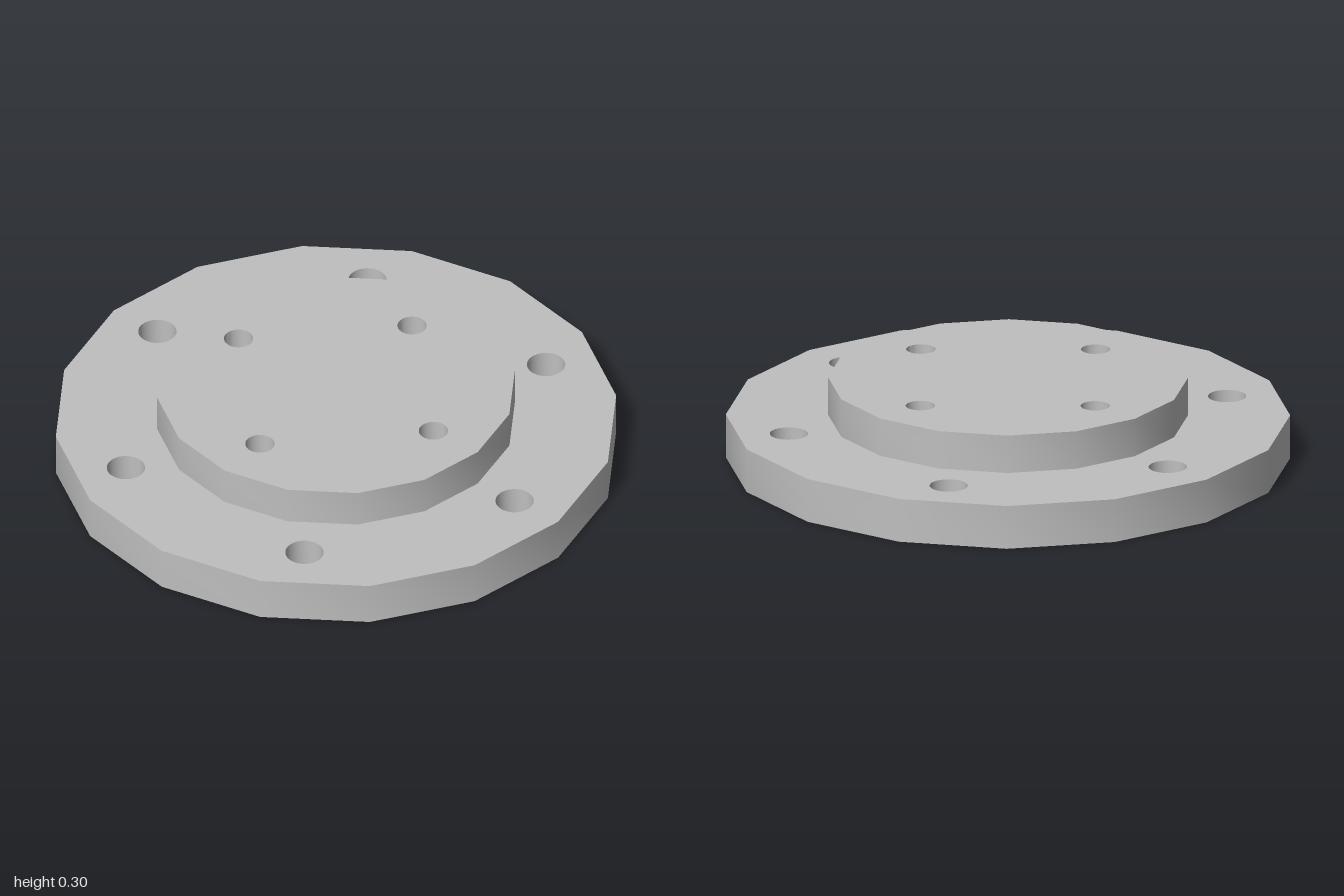
import * as THREE from 'three';
import { toCreasedNormals } from 'three/addons/utils/BufferGeometryUtils.js';

const SIDES = 16;
const TURN = -0.04; // slight rotation of the polygonal rims
const rad = THREE.MathUtils.degToRad;

// Ring of round holes: evenly spaced on a bolt circle
function boltHoles(count, circle, radius, startDeg) {
  return Array.from({ length: count }, (_, i) => {
    const a = rad(startDeg) + (i / count) * Math.PI * 2;
    return new THREE.Path().absarc(circle * Math.cos(a), circle * Math.sin(a), radius, 0, Math.PI * 2, true);
  });
}

// Sixteen-sided disc with through holes, smooth around the rim and holes
function disc(name, radius, bottom, top, holes, material) {
  const points = Array.from({ length: SIDES }, (_, i) => {
    const a = TURN + (i / SIDES) * Math.PI * 2;
    return new THREE.Vector2(radius * Math.cos(a), radius * Math.sin(a));
  });
  const shape = new THREE.Shape(points);
  shape.holes = holes;
  const extruded = new THREE.ExtrudeGeometry(shape, { depth: top - bottom, bevelEnabled: false, curveSegments: 16 });
  extruded.rotateX(Math.PI / 2).translate(0, top, 0);
  const mesh = new THREE.Mesh(toCreasedNormals(extruded, rad(35)), material);
  mesh.name = name;
  return mesh;
}

export function createModel() {
  const group = new THREE.Group();
  group.name = 'flange';
  const metal = new THREE.MeshStandardMaterial({ color: 0xbfbfbf });
  metal.name = 'grey metal';

  const outerHoles = boltHoles(6, 0.803, 0.068, -17.4);
  const innerHoles = boltHoles(4, 0.438, 0.052, 42.6);

  // Wide base plate, then the raised boss; the inner holes run through both
  group.add(disc('basePlate', 1, 0, 0.16, [...outerHoles, ...innerHoles], metal));
  group.add(disc('raisedBoss', 0.638, 0.16, 0.3, innerHoles, metal));
  return group;
}
